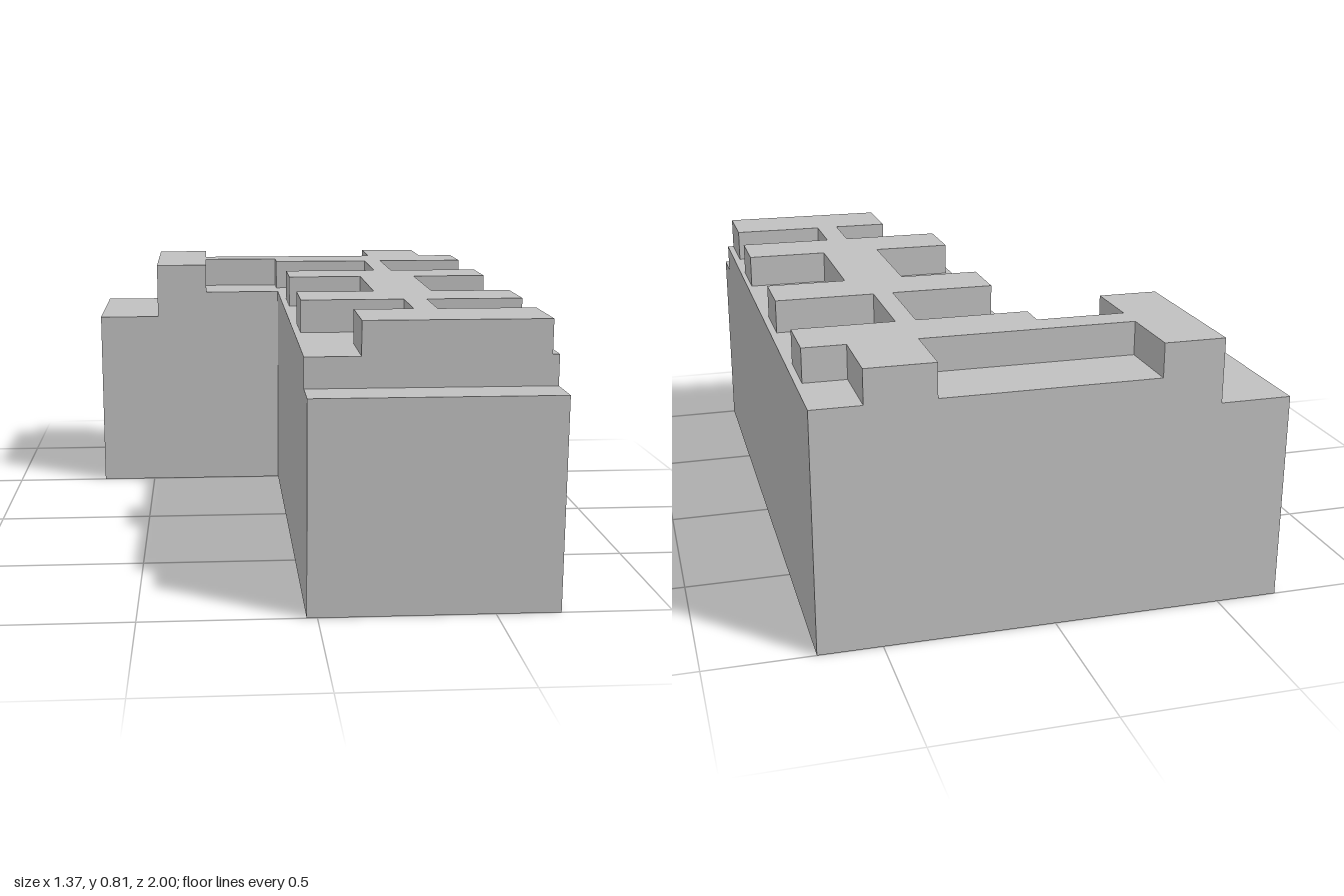
import * as THREE from 'three';

const BASE = 0.62, DECK = 0.71, TOP = 0.81, WALL = 0.008;

// Plan points are [x, z], listed clockwise as seen from above
const toShape = (pts) => new THREE.Shape(pts.map(([x, z]) => new THREE.Vector2(x, -z)));
const rect = (x0, x1, z0, z1) => [[x0, z0], [x1, z0], [x1, z1], [x0, z1]];

// L-shaped plan: back wing towards -x, long wing towards +z
const lPlan = (xWing, zEnd, t = 0) => [
  [xWing + t, -1 + t], [0.685 - t, -1 + t], [0.685 - t, zEnd - t],
  [-0.03 + t, zEnd - t], [-0.03 + t, -0.5 - t], [xWing + t, -0.5 - t],
];

// Horizontal sheet at height y
function sheet(pts, y) {
  return new THREE.ShapeGeometry(toShape(pts)).rotateX(-Math.PI / 2).translate(0, y, 0);
}

// Closed band of upright faces along a plan outline
function band(pts, y0, y1) {
  const v = [];
  pts.forEach(([ax, az], i) => {
    const [bx, bz] = pts[(i + 1) % pts.length];
    v.push(ax, y0, az, ax, y1, az, bx, y1, bz);
    v.push(ax, y0, az, bx, y1, bz, bx, y0, bz);
  });
  const g = new THREE.BufferGeometry();
  g.setAttribute('position', new THREE.Float32BufferAttribute(v, 3));
  g.computeVertexNormals();
  return g;
}

export function createModel() {
  const group = new THREE.Group();
  const grey = new THREE.MeshStandardMaterial({ color: 0xc0c0c0, side: THREE.DoubleSide });
  grey.name = 'light grey';
  const add = (name, geometry) => {
    const mesh = new THREE.Mesh(geometry, grey);
    mesh.name = name;
    group.add(mesh);
  };

  // Edges of the raised pattern on either side of the long wing
  const east = [
    [0.54, -1], [0.54, -0.785], [0.665, -0.785], [0.665, -0.605], [0.365, -0.605],
    [0.365, -0.3], [0.665, -0.3], [0.665, -0.12], [0.42, -0.12], [0.42, 0.265],
    [0.67, 0.265], [0.67, 0.455], [0.375, 0.455], [0.375, 0.655], [0.665, 0.655], [0.665, 0.87],
  ];
  const west = [
    [0.13, 0.87], [0.13, 0.655], [0.305, 0.655], [0.305, 0.455], [-0.01, 0.455],
    [-0.01, 0.265], [0.235, 0.265], [0.235, -0.12], [-0.01, -0.12], [-0.01, -0.3],
    [0.305, -0.3], [0.305, -0.605], [-0.03, -0.605], [-0.03, -0.695], [-0.295, -0.695], [-0.295, -0.5],
  ];
  const raised = [
    [-0.475, -1], [-0.295, -1], [-0.295, -0.785], [0.34, -0.785], [0.34, -1],
    ...east, ...west, [-0.475, -0.5],
  ];

  // Thin lower walls, open underneath
  const ring = toShape(lPlan(-0.685, 1));
  ring.holes.push(toShape(lPlan(-0.685, 1, WALL)));
  add('lowerWalls', new THREE.ExtrudeGeometry(ring, { depth: BASE, bevelEnabled: false })
    .rotateX(-Math.PI / 2));

  // Ledges at the two ends of the L
  add('frontLedge', sheet(rect(-0.03, 0.685, 0.87, 1), BASE));
  add('sideLedge', sheet(rect(-0.685, -0.475, -1, -0.5), BASE));

  // Step up to the recessed deck
  add('upperWalls', band(lPlan(-0.475, 0.87), BASE, DECK));
  add('eastDeck', sheet([...east, [0.685, 0.87], [0.685, -1]], DECK));
  add('westDeck', sheet([...west, [-0.03, -0.5], [-0.03, 0.87]], DECK));
  add('backDeck', sheet(rect(-0.295, 0.34, -1, -0.785), DECK));

  // Raised pattern
  add('raisedSides', band(raised, DECK, TOP));
  add('raisedTop', sheet(raised, TOP));

  return group;
}
